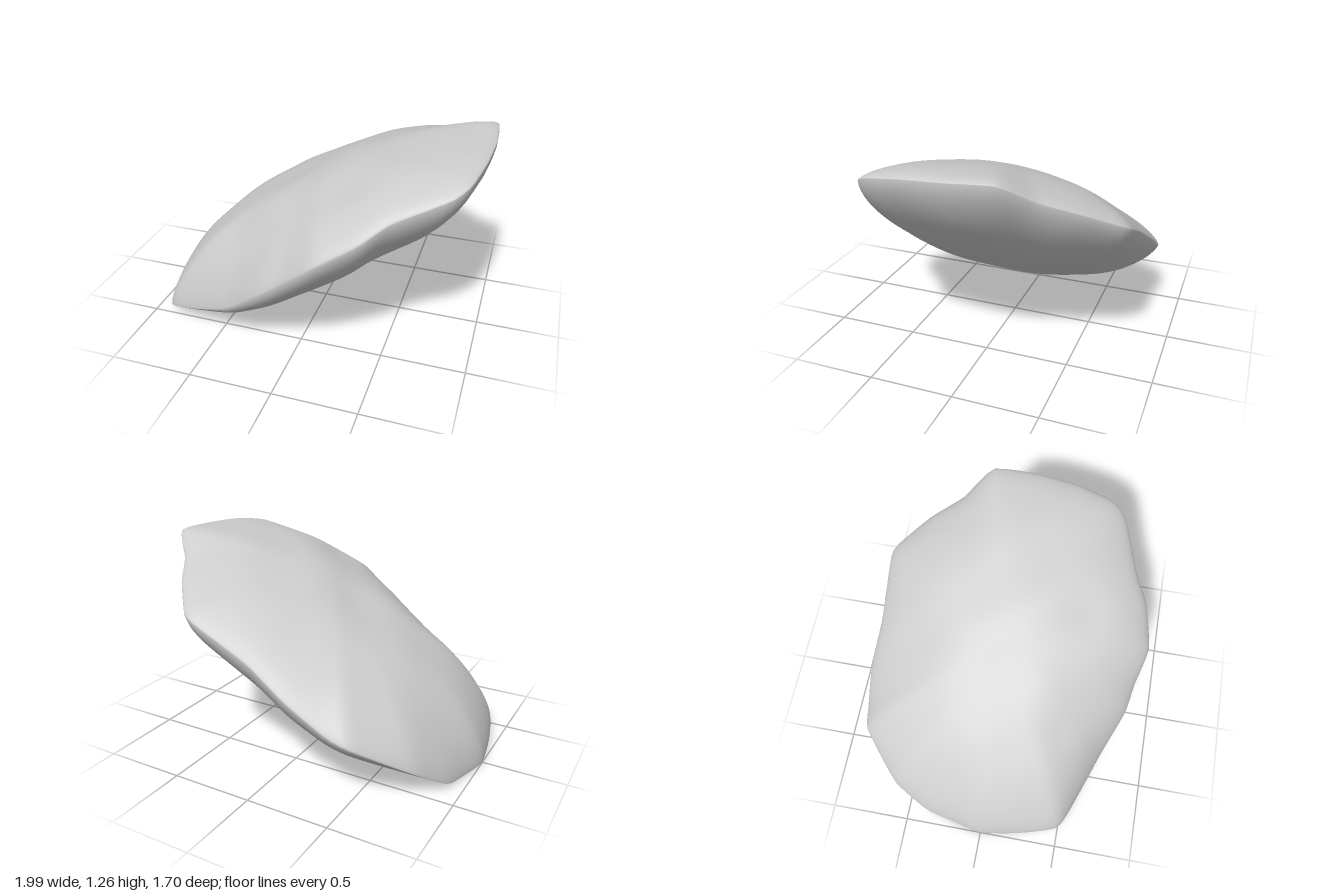
import * as THREE from 'three';

// Rim of the slab as [x, y, z], running from the high end round the front and back
const RIM = [
  [0.99, 1.24, 0], [0.97, 1.22, 0.25], [0.92, 1.18, 0.48], [0.84, 1.13, 0.57], [0.56, 1.01, 0.69],
  [0.42, 0.91, 0.78], [0.19, 0.77, 0.85], [0, 0.61, 0.81], [-0.15, 0.49, 0.79], [-0.4, 0.28, 0.69],
  [-0.65, 0.16, 0.6], [-0.88, 0.07, 0.5], [-0.96, 0.03, 0.25], [-1, 0.01, 0], [-0.96, 0.02, -0.2],
  [-0.92, 0.05, -0.38], [-0.8, 0.2, -0.6], [-0.53, 0.38, -0.82], [-0.4, 0.43, -0.84], [-0.15, 0.58, -0.85],
  [0.1, 0.73, -0.82], [0.45, 0.9, -0.82], [0.53, 0.94, -0.79], [0.7, 1.05, -0.6], [0.82, 1.13, -0.42],
  [0.97, 1.25, -0.26],
];

// Swell of each face, height * (1 - s^a)^b, with [a, b] toward each side
const UPPER = { height: 0.36, high: [1.5, 0.75], low: [4.2, 0.57], front: [2.1, 0.7], back: [2, 0.8] };
const LOWER = { height: -0.33, high: [3, 0.5], low: [2, 1], front: [2.5, 0.57], back: [2.5, 0.6] };

// Shallow hollows in the upper face: [x, z, radius, depth]
const HOLLOWS = [[-0.42, 0.42, 0.12, 0.02], [0.25, 0.46, 0.13, 0.02], [0.66, -0.52, 0.08, 0.02]];

// Middle plane of the tilted slab
const plane = (x) => 0.63 + 0.6 * x;

function swellAt(face, s, cos, sin) {
  const end = cos > 0 ? face.high : face.low;
  const side = sin > 0 ? face.front : face.back;
  const [a, b] = [0, 1].map((i) => end[i] * cos * cos + side[i] * sin * sin);
  return Math.pow(1 - Math.pow(s, a), b);
}

function ripple(x, z) {
  return 0.006 * Math.sin(7 * x + 3 * z) * Math.cos(8 * z - 2 * x) + 0.004 * Math.sin(12 * x - 9 * z);
}

function stoneGeometry(segments = 130, rings = 26) {
  const curve = new THREE.CatmullRomCurve3(RIM.map((p) => new THREE.Vector3(...p)), true, 'catmullrom', 0.25);
  const rim = curve.getSpacedPoints(segments).slice(0, segments);
  const positions = [0, plane(0) + UPPER.height, 0];
  const index = [];
  const rows = 2 * rings - 1;

  // Rings run from the top centre out to the rim and back in underneath
  for (let k = 1; k <= rows; k++) {
    const upper = k <= rings;
    const face = upper ? UPPER : LOWER;
    const s = k === rings ? 1 : Math.sin(((upper ? k : 2 * rings - k) / rings) * (Math.PI / 2));
    for (const p of rim) {
      const reach = Math.hypot(p.x, p.z);
      const cos = p.x / reach, sin = p.z / reach;
      // The outline rounds off to an ellipse toward the middle
      const oval = 1 / Math.hypot(cos / 0.98, sin / 0.84);
      const radius = s * THREE.MathUtils.lerp(oval, reach, s * s);
      const x = radius * cos, z = radius * sin;
      const swell = swellAt(face, s, cos, sin);
      let y = plane(x) + (p.y - plane(p.x)) * s ** 4 + face.height * swell + ripple(x, z) * swell;
      if (upper) {
        for (const [hx, hz, r, d] of HOLLOWS) {
          y -= d * swell * Math.exp(-((x - hx) ** 2 + (z - hz) ** 2) / (r * r));
        }
      }
      positions.push(x, Math.max(y, 0), z);
    }
  }
  positions.push(0, plane(0) + LOWER.height, 0);
  const last = positions.length / 3 - 1;

  const at = (k, i) => 1 + (k - 1) * segments + (i % segments);
  for (let i = 0; i < segments; i++) {
    index.push(0, at(1, i + 1), at(1, i));
    for (let k = 1; k < rows; k++) {
      const a = at(k, i), b = at(k, i + 1), c = at(k + 1, i), d = at(k + 1, i + 1);
      index.push(a, b, c, b, d, c);
    }
    index.push(last, at(rows, i), at(rows, i + 1));
  }

  const geometry = new THREE.BufferGeometry();
  geometry.setAttribute('position', new THREE.Float32BufferAttribute(positions, 3));
  geometry.setIndex(index);
  geometry.computeVertexNormals();
  return geometry;
}

export function createModel() {
  const group = new THREE.Group();
  group.name = 'tiltedRock';
  const stoneGrey = new THREE.MeshStandardMaterial({ color: 0xcccccc });
  stoneGrey.name = 'stoneGrey';
  const stone = new THREE.Mesh(stoneGeometry(), stoneGrey);
  stone.name = 'stoneSlab';
  group.add(stone);
  return group;
}
